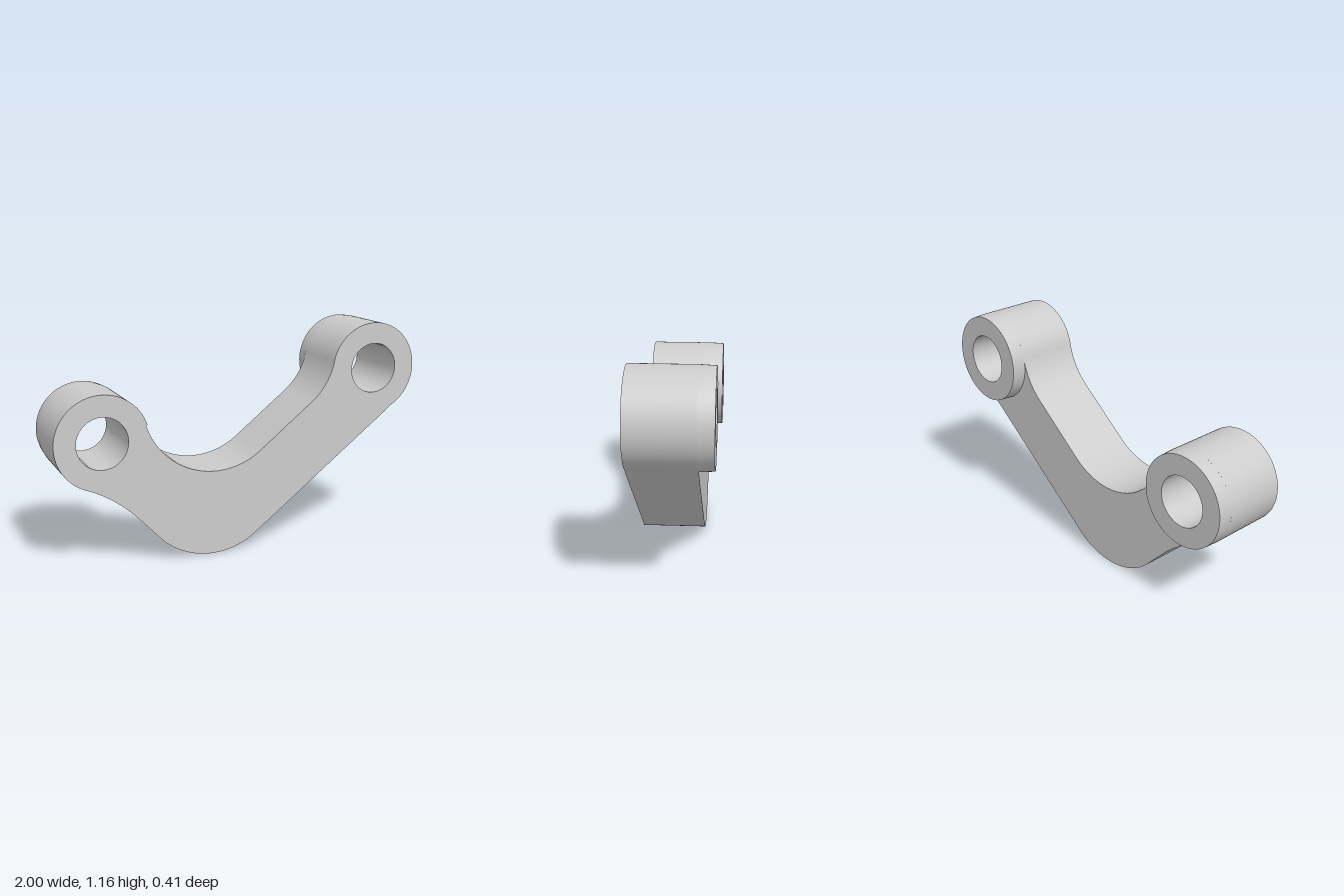
import * as THREE from 'three';
import { toCreasedNormals } from 'three/addons/utils/BufferGeometryUtils.js';

const FRONT = 0.205, WEB_BACK = -0.13, BOSS_BACK = -0.205;
const EYE_R = 0.244, HOLE_R = 0.133;
const LEFT_EYE = [0.753, 0.924], RIGHT_EYE = [-0.757, 0.652];
const rad = THREE.MathUtils.degToRad;

export function createModel() {
  const group = new THREE.Group();
  const material = new THREE.MeshStandardMaterial({ color: 0xcccccc });
  const add = (name, geometry) => {
    const mesh = new THREE.Mesh(toCreasedNormals(geometry, rad(25)), material);
    mesh.name = name;
    group.add(mesh);
  };

  // Bent arm outline, traced clockwise from the underside of the low eye
  const outline = new THREE.Shape();
  const arc = ([x, y], r, from, to, clockwise) =>
    outline.absarc(x, y, r, rad(from), rad(to), clockwise);
  arc(RIGHT_EYE, EYE_R, 248.8, 18.2, true);
  arc([-0.155, 0.846], 0.397, 198.2, 307.8, false); // inside of the bend
  outline.lineTo(0.385, 0.767);
  outline.quadraticCurveTo(0.488, 0.848, 0.517, 0.981);
  arc(LEFT_EYE, EYE_R, 166.5, -63, true);
  outline.lineTo(0.835, 0.68);
  arc([-0.18, 0.403], 0.4, 307.6, 227, true); // outside of the bend
  outline.lineTo(-0.6, 0.265);
  outline.quadraticCurveTo(-0.72, 0.377, -0.845, 0.425);

  // Pin holes through both eyes
  for (const [x, y] of [LEFT_EYE, RIGHT_EYE]) {
    outline.holes.push(new THREE.Path().absarc(x, y, HOLE_R, 0, Math.PI * 2, false));
  }

  const arm = new THREE.ExtrudeGeometry(outline, {
    depth: FRONT - WEB_BACK, bevelEnabled: false, curveSegments: 40,
  });
  arm.translate(0, 0, WEB_BACK);
  add('arm', arm);

  // Slightly tapered ring bosses standing out from the back
  const profile = [
    [EYE_R, -WEB_BACK], [EYE_R - 0.004, -BOSS_BACK],
    [HOLE_R, -BOSS_BACK], [HOLE_R, -WEB_BACK],
  ].map(([r, h]) => new THREE.Vector2(r, h));
  for (const [name, [x, y]] of [['leftBoss', LEFT_EYE], ['rightBoss', RIGHT_EYE]]) {
    const boss = new THREE.LatheGeometry(profile, 80);
    boss.rotateX(-Math.PI / 2);
    boss.translate(x, y, 0);
    add(name, boss);
  }
  return group;
}
